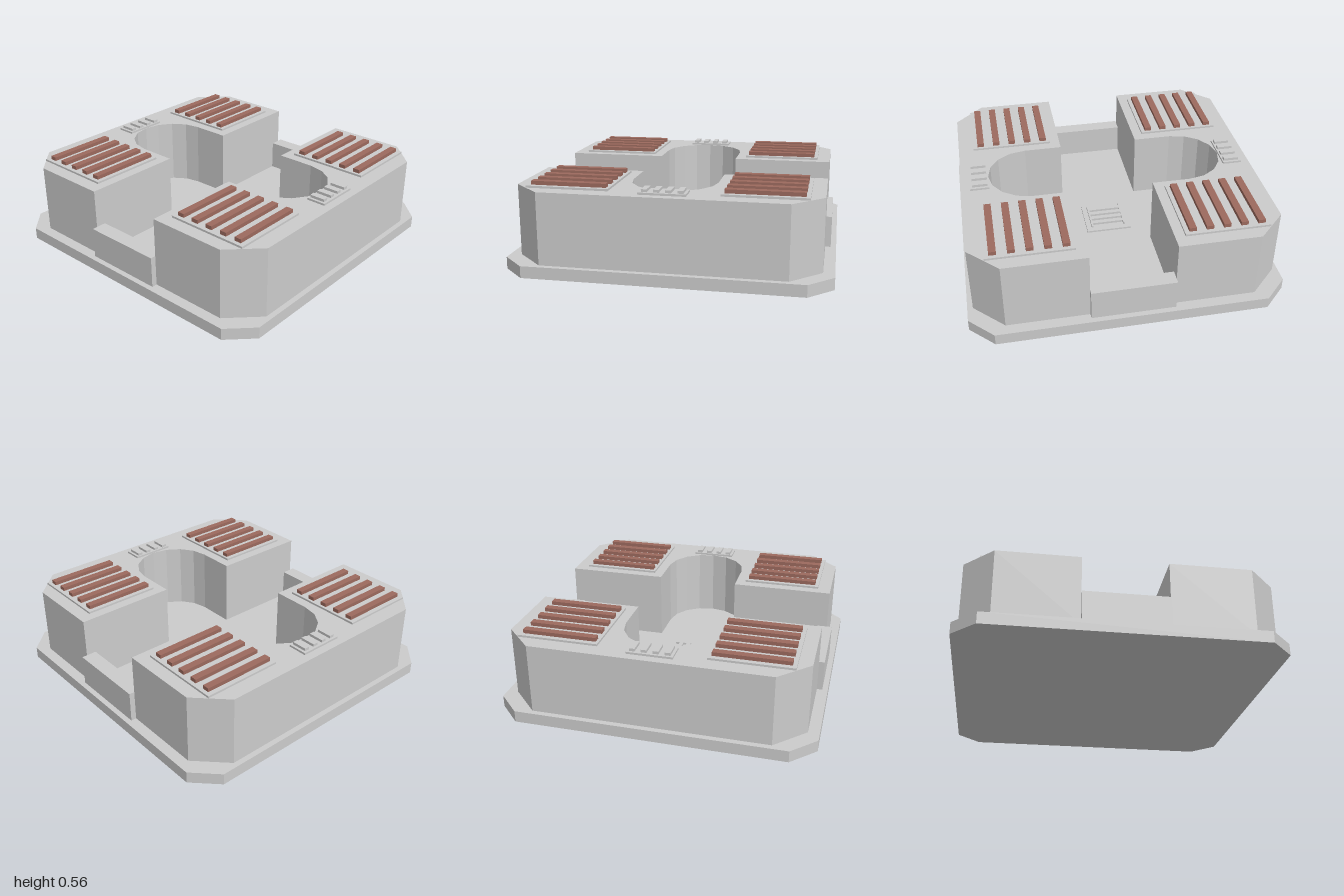
import * as THREE from 'three';

const grey = new THREE.MeshStandardMaterial({ color: 0xcccccc, flatShading: true });
const rust = new THREE.MeshStandardMaterial({ color: 0x9c6a5e, flatShading: true });

// Box given by its centre in plan, bottom height and size
function box(name, parent, [w, h, d], [x, y, z], material = grey) {
  const mesh = new THREE.Mesh(new THREE.BoxGeometry(w, h, d), material);
  mesh.name = name;
  mesh.position.set(x, y + h / 2, z);
  parent.add(mesh);
  return mesh;
}

// Plan outline of [x, z] points raised from y0 to y1
function slab(name, parent, outline, y0, y1) {
  const shape = new THREE.Shape(outline.map(([x, z]) => new THREE.Vector2(x, -z)));
  const geometry = new THREE.ExtrudeGeometry(shape, { depth: y1 - y0, bevelEnabled: false });
  geometry.rotateX(-Math.PI / 2);
  const mesh = new THREE.Mesh(geometry, grey);
  mesh.name = name;
  mesh.position.y = y0;
  parent.add(mesh);
}

const FLOOR = 0.075, ROOF = 0.525;

// Half of the building: U-shaped block with its roof vents, facing +z
function createHalf(name) {
  const half = new THREE.Group();
  half.name = name;

  // Round-ended bay cut into the block, as an eight-sided half circle
  const bay = [];
  for (let i = 0; i <= 8; i++) {
    const a = (i / 8) * Math.PI;
    bay.push([0.27 * Math.cos(a), 0.515 + 0.27 * Math.sin(a)]);
  }
  slab('block', half, [
    [0.27, 0.265], ...bay, [-0.27, 0.265], [-0.93, 0.265], [-0.93, 0.78],
    [-0.745, 0.965], [0.745, 0.965], [0.93, 0.78], [0.93, 0.265],
  ], FLOOR, ROOF);

  // Large roof vents with coloured slats
  for (const side of [-1, 1]) {
    box('ventPlate', half, [0.51, 0.013, 0.535], [side * 0.59, ROOF, 0.597]);
    for (let i = 0; i < 5; i++) {
      box('ventSlat', half, [0.467, 0.024, 0.045],
        [side * 0.587, ROOF + 0.013, 0.38 + i * 0.108], rust);
    }
  }

  // Small vent behind the bay
  box('smallVentPlate', half, [0.285, 0.013, 0.125], [0, ROOF, 0.848]);
  for (let i = 0; i < 4; i++) {
    box('smallVentSlat', half, [0.034, 0.017, 0.1], [-0.108 + i * 0.072, ROOF + 0.013, 0.845]);
  }
  return half;
}

export function createModel() {
  const model = new THREE.Group();
  model.name = 'bunker';

  // Chamfered foundation
  slab('foundation', model, [
    [1, -0.85], [1, 0.85], [0.85, 1], [-0.85, 1],
    [-1, 0.85], [-1, -0.85], [-0.85, -1], [0.85, -1],
  ], 0, FLOOR);

  // Two mirrored halves
  const back = createHalf('backHalf');
  back.rotation.y = Math.PI;
  model.add(createHalf('frontHalf'), back);

  // Low walls closing the cross passage
  for (const side of [-1, 1]) {
    box(side > 0 ? 'leftWall' : 'rightWall', model, [0.1, 0.2, 0.53], [side * 0.915, FLOOR, 0]);
  }

  // Floor grate in the centre
  box('gratePlate', model, [0.305, 0.012, 0.305], [0, FLOOR, -0.003]);
  for (let i = 0; i < 4; i++) {
    box('grateBar', model, [0.028, 0.015, 0.215], [-0.075 + i * 0.05, FLOOR + 0.012, -0.003]);
  }
  for (const side of [-1, 1]) {
    box('grateEnd', model, [0.235, 0.015, 0.012], [0, FLOOR + 0.012, side * 0.112 - 0.003]);
  }
  return model;
}
